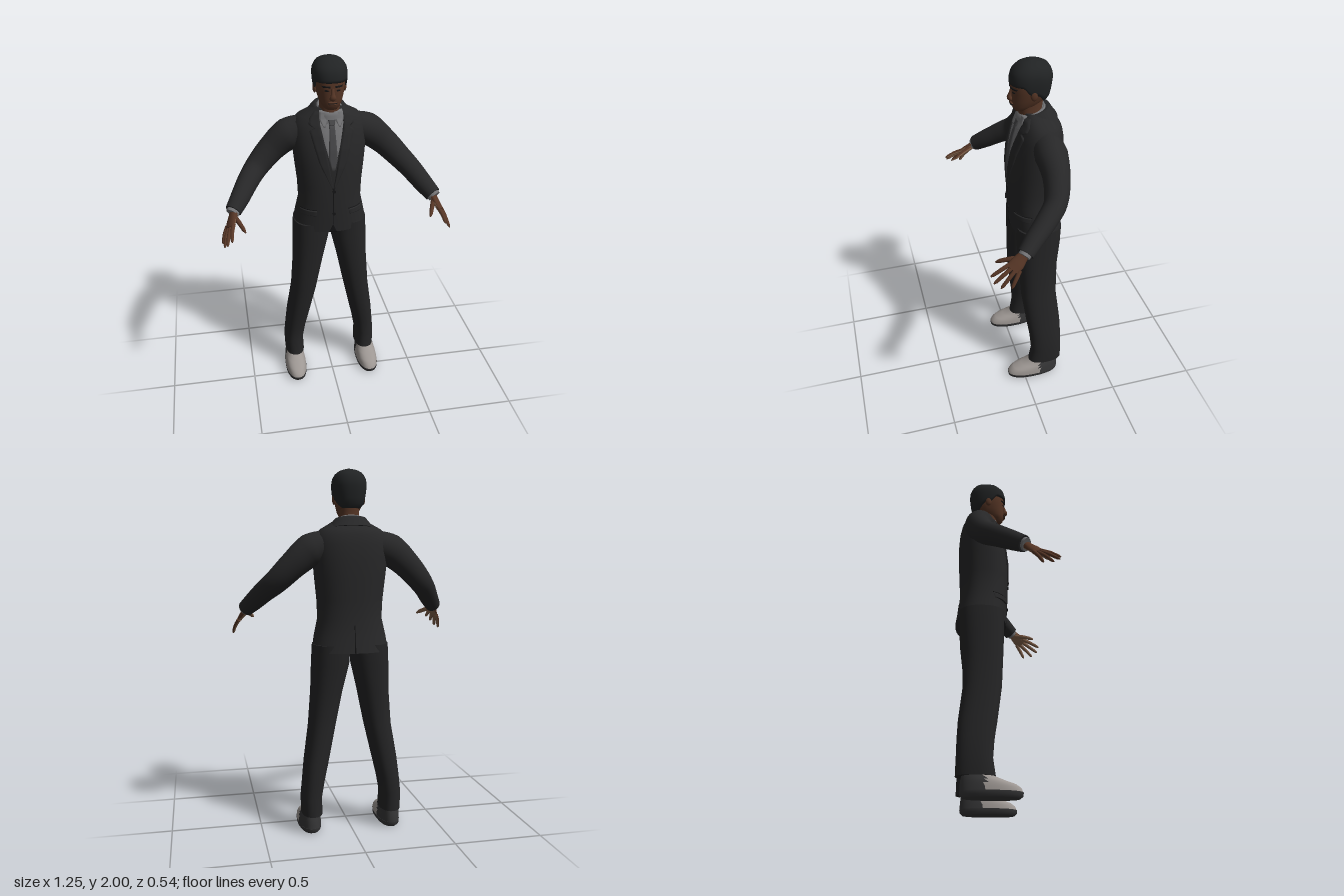
import * as THREE from 'three';

const V3 = (x, y, z) => new THREE.Vector3(x, y, z);
const mat = (name, color, side = THREE.FrontSide) => {
  const m = new THREE.MeshStandardMaterial({ color, side });
  m.name = name;
  return m;
};

// Cross-section tables: [y, centre x, half width, front z, back z]
const TORSO = [[1.02, 0, .212, .025, -.262], [1.1, 0, .2, .03, -.25], [1.2, 0, .178, .034, -.24], [1.3, 0, .182, .036, -.245],
  [1.42, 0, .195, .034, -.252], [1.52, 0, .205, .022, -.255], [1.6, 0, .205, .002, -.25], [1.65, 0, .195, -.015, -.24],
  [1.68, 0, .165, -.03, -.225], [1.705, 0, .12, -.036, -.2], [1.73, 0, .08, -.04, -.18]];
const LEG = [[.105, .225, .058, -.035, -.237], [.2, .228, .058, -.05, -.235], [.3, .214, .062, -.043, -.234], [.4, .197, .068, -.028, -.23],
  [.6, .16, .075, -.003, -.21], [.8, .132, .088, .006, -.216], [.95, .112, .104, .012, -.235], [1.06, .105, .105, .012, -.24]];
const HEAD = [[1.735, 0, .03, -.005, -.06], [1.75, 0, .045, .008, -.09], [1.77, 0, .058, .014, -.13], [1.8, 0, .068, .016, -.16],
  [1.84, 0, .077, .015, -.175], [1.88, 0, .08, .018, -.18], [1.93, 0, .078, .008, -.175]];
const HAIR = [[1.78, 0, .06, 0, -.16], [1.82, 0, .082, .014, -.184], [1.88, 0, .092, .025, -.193], [1.92, 0, .094, .023, -.197],
  [1.95, 0, .088, .012, -.19], [1.975, 0, .072, -.012, -.172], [1.992, 0, .045, -.04, -.14], [2, 0, .012, -.075, -.1]];
const SOLE = [[0, .23, .054, .085, -.2], [.012, .23, .064, .098, -.213], [.03, .23, .065, .1, -.215]];
const SHOE = [[.03, .23, .064, .098, -.213], [.05, .23, .063, .09, -.213], [.068, .23, .06, .065, -.212], [.085, .23, .056, .015, -.21],
  [.105, .228, .05, -.035, -.207], [.135, .226, .046, -.055, -.2]];
const POW = 2.3;

// Interpolated section at height y
function section(table, y) {
  let i = 0;
  while (i < table.length - 2 && y > table[i + 1][0]) i++;
  const t = THREE.MathUtils.clamp((y - table[i][0]) / (table[i + 1][0] - table[i][0]), 0, 1);
  return table[i].map((v, k) => THREE.MathUtils.lerp(v, table[i + 1][k], t));
}
// Point on the rounded section at angle a
function onSection([y, cx, rx, zf, zb], a) {
  const bend = (v) => Math.sign(v) * Math.abs(v) ** (2 / POW);
  return V3(cx + rx * bend(Math.cos(a)), y, (zf + zb) / 2 + (zf - zb) / 2 * bend(Math.sin(a)));
}
const ring = (row, n = 40) => Array.from({ length: n }, (_, j) => onSection(row, j / n * Math.PI * 2));

// Skin over closed rings, with flat end caps; keep() selects faces
function loft(rings, keep) {
  const n = rings[0].length, pts = rings.flat(), idx = [];
  for (let i = 0; i < rings.length - 1; i++) for (let j = 0; j < n; j++) {
    const a = i * n + j, b = i * n + (j + 1) % n;
    idx.push(a, a + n, b, b, a + n, b + n);
  }
  [rings[0], rings[rings.length - 1]].forEach((r, end) => {
    const base = pts.length;
    pts.push(...r, r.reduce((s, p) => s.add(p), V3(0, 0, 0)).divideScalar(n));
    for (let j = 0; j < n; j++) {
      const a = base + j, b = base + (j + 1) % n;
      idx.push(...(end ? [b, a, base + n] : [a, b, base + n]));
    }
  });
  const g = new THREE.BufferGeometry().setFromPoints(pts);
  g.setIndex(idx);
  g.computeVertexNormals();
  if (keep) {
    const out = [], tri = new THREE.Triangle(), c = V3(), nor = V3();
    for (let i = 0; i < idx.length; i += 3) {
      tri.set(pts[idx[i]], pts[idx[i + 1]], pts[idx[i + 2]]);
      if (keep(tri.getMidpoint(c), tri.getNormal(nor))) out.push(idx[i], idx[i + 1], idx[i + 2]);
    }
    g.setIndex(out);
  }
  return g;
}
const body = (table, keep) => loft(table.map((r) => ring(r)), keep);

// Tapered limb along a smooth path; each node is [x, y, z, radius across, radius along ref]
function limb(nodes, ref, steps = 12, seg = 16, keep) {
  const curve = new THREE.CatmullRomCurve3(nodes.map((p) => V3(p[0], p[1], p[2])));
  const rings = [];
  for (let i = 0; i <= steps; i++) {
    const t = i / steps, f = t * (nodes.length - 1), k = Math.min(Math.floor(f), nodes.length - 2);
    const [ra, rb] = [3, 4].map((q) => THREE.MathUtils.lerp(nodes[k][q], nodes[k + 1][q], f - k));
    const c = curve.getPoint(t), T = curve.getTangent(t);
    const v = ref.clone().addScaledVector(T, -ref.dot(T)).normalize(), u = T.clone().cross(v);
    rings.push(Array.from({ length: seg }, (_, j) => {
      const a = j / seg * Math.PI * 2;
      return c.clone().addScaledVector(u, ra * Math.cos(a)).addScaledVector(v, rb * Math.sin(a));
    }));
  }
  return loft(rings, keep);
}

// Thin sheet laid on a body surface; rows are [y, x from, x to], bottom to top
function patch(table, rows, off, back = false) {
  const s = back ? -1 : 1, across = [0, 0, .2, .4, .6, .8, 1, 1], N = rows.length * 6, pts = [], idx = [];
  for (let i = 0; i <= N; i++) {
    const y = THREE.MathUtils.lerp(rows[0][0], rows[rows.length - 1][0], i / N);
    const [, x0, x1] = section(rows, y), [, cx, rx, zf, zb] = section(table, y);
    across.forEach((t, j) => {
      const x = THREE.MathUtils.lerp(x0, x1, t), e = Math.min(1, Math.abs(x - cx) / rx);
      const lift = j === 0 || j === 7 || i === 0 || i === N ? 0 : off;
      pts.push(V3(x * s, y, (zf + zb) / 2 + s * ((zf - zb) / 2 * (1 - e ** POW) ** (1 / POW) + lift)));
      if (i < N && j < 7) {
        const a = i * 8 + j;
        idx.push(a, a + 1, a + 8, a + 1, a + 9, a + 8);
      }
    });
  }
  const g = new THREE.BufferGeometry().setFromPoints(pts);
  g.setIndex(idx);
  g.computeVertexNormals();
  return g;
}
// Mirror image across x, with corners reordered
function mirrored(g) {
  const m = g.clone().scale(-1, 1, 1), ix = m.index.array;
  for (let i = 0; i < ix.length; i += 3) [ix[i + 1], ix[i + 2]] = [ix[i + 2], ix[i + 1]];
  m.computeVertexNormals();
  return m;
}
const blob = (x, y, z, sx, sy, sz) => new THREE.SphereGeometry(1, 16, 12).scale(sx, sy, sz).translate(x, y, z);

export function createModel() {
  const model = new THREE.Group();
  const D = THREE.DoubleSide;
  const suit = mat('suit cloth', 0x272728, D), trousers = mat('trouser cloth', 0x242425), hair = mat('hair', 0x212324, D);
  const skin = mat('skin', 0x553525), palm = mat('palm skin', 0x84644c), shirt = mat('shirt', 0x737375, D);
  const tie = mat('tie', 0x464648, D), shoe = mat('shoe leather', 0x9d9793), sole = mat('sole', 0x363637), dark = mat('dark detail', 0x151516, D);
  const add = (name, g, m) => {
    const mesh = new THREE.Mesh(g, m);
    mesh.name = name;
    model.add(mesh);
  };
  const pair = (name, g, m) => { add('left ' + name, g, m); add('right ' + name, mirrored(g), m); };

  // Jacket body and its front details
  add('jacket', body(TORSO), suit);
  add('shirt front', patch(TORSO, [[1.4, -.004, .004], [1.55, -.042, .042], [1.66, -.064, .064], [1.715, -.055, .055]], .003), shirt);
  add('tie blade', patch(TORSO, [[1.4, -.006, .006], [1.47, -.024, .024], [1.655, -.014, .014]], .008), tie);
  add('tie knot', patch(TORSO, [[1.645, -.012, .012], [1.69, -.023, .023], [1.7, -.02, .02]], .013), tie);
  pair('lapel', patch(TORSO, [[1.29, 0, .004], [1.45, .026, .075], [1.56, .046, .105], [1.622, .06, .12], [1.637, .062, .088],
    [1.65, .064, .122], [1.68, .063, .115], [1.715, .055, .085]], .009), suit);
  pair('pocket flap', patch(TORSO, [[1.125, .095, .178], [1.158, .09, .178]], .007), suit);
  pair('pocket slit', patch(TORSO, [[1.159, .09, .178], [1.164, .09, .178]], .003), dark);
  add('front opening', patch(TORSO, [[1.07, -.002, .002], [1.3, -.002, .002]], .003), dark);
  add('hem notch', patch(TORSO, [[1.02, -.022, .022], [1.07, -.001, .001]], .003), dark);
  add('back vent', patch(TORSO, [[1.02, -.003, .003], [1.17, -.002, .002]], .003, true), dark);
  for (const y of [1.28, 1.14]) {
    add('button', new THREE.CylinderGeometry(.009, .009, .008, 16).rotateX(Math.PI / 2).translate(.004, y, section(TORSO, y)[3] + .004), dark);
  }

  // Collars, tilted down towards the front
  const collar = (rows, tilt) => loft(rows.map((r) => ring(r).map((p) => p.setY(p.y - tilt * (p.z + .1)))));
  add('jacket collar', collar([[1.67, 0, .13, -.025, -.222], [1.705, 0, .105, -.03, -.2], [1.728, 0, .086, -.038, -.188], [1.732, 0, .074, -.045, -.175]], .25), suit);
  add('shirt collar', collar([[1.67, 0, .086, -.012, -.175], [1.72, 0, .074, -.016, -.168], [1.738, 0, .064, -.022, -.16], [1.732, 0, .058, -.03, -.15]], .3), shirt);
  pair('collar point', patch(TORSO, [[1.638, .038, .044], [1.68, .02, .066], [1.722, .006, .062]], .012), shirt);

  // Sleeves and shirt cuffs
  const Z = V3(0, 0, 1);
  pair('sleeve', limb([[.13, 1.6, -.13, .078, .075], [.22, 1.568, -.135, .09, .085], [.31, 1.495, -.135, .076, .07], [.4, 1.405, -.105, .066, .06],
    [.455, 1.352, -.045, .06, .056], [.51, 1.29, .035, .053, .05], [.553, 1.243, .093, .045, .043]], Z, 30, 24), suit);
  pair('shirt cuff', limb([[.535, 1.262, .07, .038, .034], [.56, 1.234, .104, .036, .032]], Z, 2, 20), shirt);

  // Hands: skin on the back, lighter skin on the palm side
  const N = V3(.73, .67, .1).normalize();
  const handParts = [['hand', [[.545, 1.248, .085, .024, .022], [.557, 1.225, .115, .03, .018], [.568, 1.203, .14, .037, .017], [.58, 1.182, .17, .036, .012]]]];
  const tips = [['index', .575, 1.155, .277], ['middle', .6, 1.128, .268], ['ring', .615, 1.103, .235], ['little', .622, 1.095, .182]];
  tips.forEach(([name, x, y, z], i) => {
    const k = i / 3, b = [.561 + .035 * k, 1.2 - .031 * k, .178 - .04 * k], p = [x, y, z];
    const at = (t, lift) => b.map((v, q) => THREE.MathUtils.lerp(v, p[q], t) + N.getComponent(q) * lift);
    handParts.push([name + ' finger', [[...at(-.1, -.002), .011, .011], [...at(.45, .004), .0105, .01], [...at(.88, .001), .0085, .008], [...at(1, 0), .003, .003]]]);
  });
  handParts.push(['thumb', [[.55, 1.22, .12, .014, .013], [.53, 1.208, .165, .0125, .012], [.51, 1.19, .213, .0105, .01], [.501, 1.18, .233, .004, .004]]]);
  for (const [name, nodes] of handParts) {
    pair(name, limb(nodes, N, 9, 16, (c, n) => n.dot(N) > -.35), skin);
    pair(name + ' underside', limb(nodes, N, 9, 16, (c, n) => n.dot(N) <= -.35), palm);
  }

  // Trousers and shoes
  pair('trouser leg', body(LEG), trousers);
  pair('shoe sole', body(SOLE), sole);
  pair('shoe upper', body(SHOE, (c) => c.z > -.09), shoe);
  pair('shoe heel', body(SHOE, (c) => c.z <= -.09), sole);

  // Head and face
  add('neck', body([[1.66, 0, .062, -.025, -.16], [1.74, 0, .055, -.025, -.145], [1.82, 0, .056, -.02, -.155]]), skin);
  add('head', body(HEAD), skin);
  add('nose', limb([[0, 1.798, .014, .017, .01], [0, 1.807, .023, .018, .015], [0, 1.825, .02, .011, .011], [0, 1.855, .013, .008, .007]], Z, 10, 14), skin);
  add('upper lip', blob(0, 1.781, .014, .025, .005, .009), skin);
  add('lower lip', blob(0, 1.771, .012, .022, .006, .01), skin);
  add('mouth line', patch(HEAD, [[1.775, -.023, .023], [1.777, -.023, .023]], .009), dark);
  pair('eyebrow', patch(HEAD, [[1.86, .014, .05], [1.869, .012, .056]], .005), dark);
  pair('eye', patch(HEAD, [[1.839, .024, .034], [1.843, .018, .043], [1.848, .024, .038]], .002), dark);
  pair('ear', blob(.08, 1.84, -.082, .011, .03, .019), skin);

  // Hair cap with a fringe, short sides and a longer nape
  const smooth = THREE.MathUtils.smoothstep, levels = [0, 0, .12, .25, .4, .55, .68, .8, .88, .94, .975, 1];
  add('hair', loft(levels.map((v, i) => Array.from({ length: 48 }, (_, j) => {
    const a = j / 48 * Math.PI * 2, s = Math.sin(a);
    const low = 1.84 + .045 * smooth(s, .1, .5) - .05 * smooth(-s, 0, .8);
    const p = onSection(section(HAIR, low + (2 - low) * v), a);
    return i ? p : V3(p.x * .82, p.y + .002, -.085 + (p.z + .085) * .82);
  })), (c) => c.y > 1.87 || Math.hypot(c.x, c.z + .085) > .03), hair);
  return model;
}
